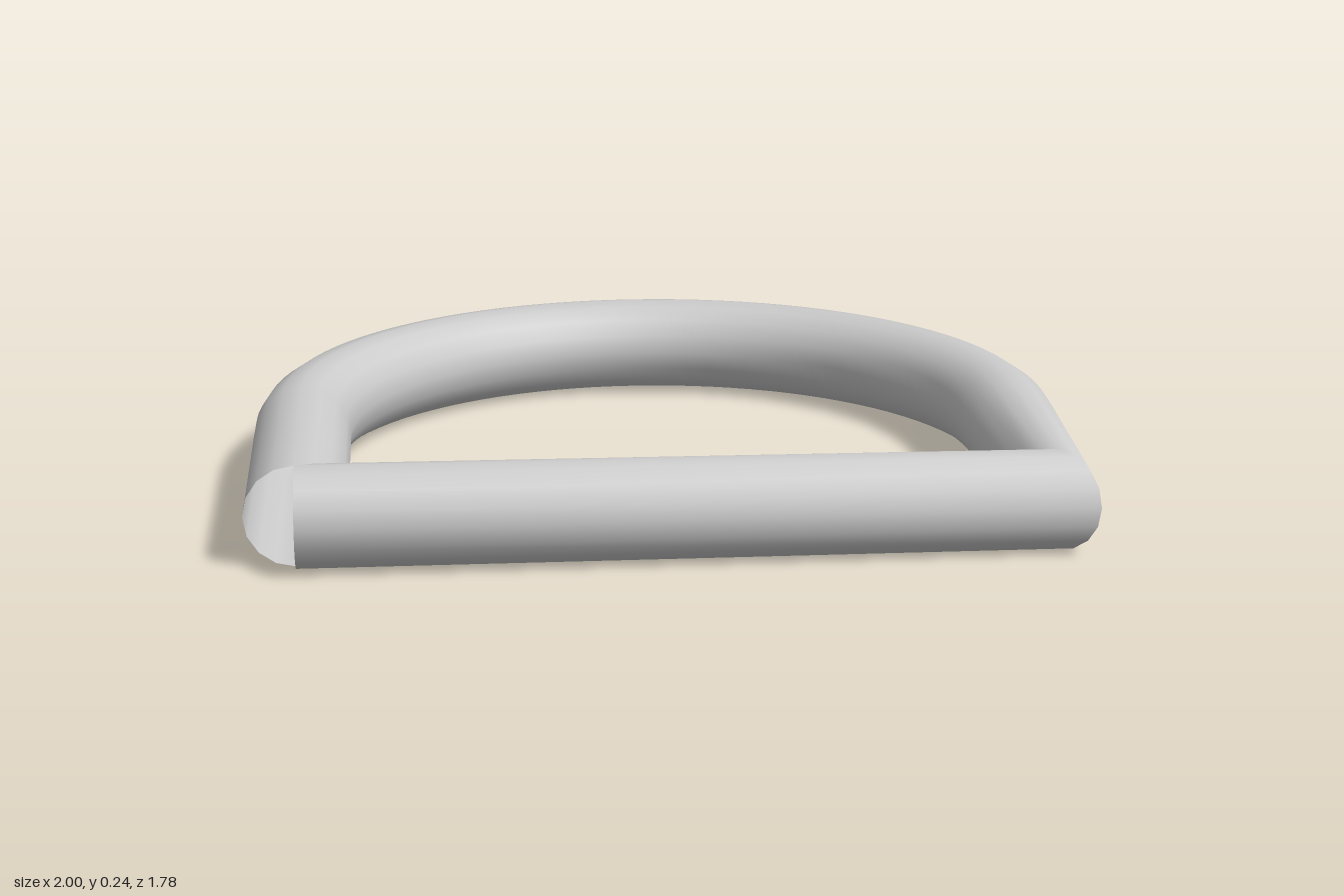
import * as THREE from 'three';

const R = 0.88;        // half width of the ring centreline
const TUBE = 0.12;     // rod radius
const BAR_Z = 0.77;    // front bar position
const ARC_Z = 0.105;   // centre of the rear arch
const ARC_STEPS = 48;

// Stations along the rod: left leg, arch, right leg, sharp corner, front bar
function rodPath() {
  const points = [new THREE.Vector3(-R, TUBE, BAR_Z)];
  const tangents = [new THREE.Vector3(0, 0, -1)];
  for (let i = 0; i <= ARC_STEPS; i++) {
    const a = Math.PI * i / ARC_STEPS;
    points.push(new THREE.Vector3(-R * Math.cos(a), TUBE, ARC_Z - R * Math.sin(a)));
    tangents.push(new THREE.Vector3(Math.sin(a), 0, -Math.cos(a)));
  }
  // the corner section sits on the bisector, which pinches both neighbours
  points.push(new THREE.Vector3(R, TUBE, BAR_Z), new THREE.Vector3(-R, TUBE, BAR_Z));
  tangents.push(new THREE.Vector3(-1, 0, 1).normalize(), new THREE.Vector3(-1, 0, 0));
  return { points, tangents };
}

// A curve that steps exactly through the stations
class StationCurve extends THREE.Curve {
  constructor({ points, tangents }) {
    super();
    this.points = points;
    this.tangents = tangents;
  }
  index(u) { return Math.round(u * (this.points.length - 1)); }
  getPointAt(u, target = new THREE.Vector3()) { return target.copy(this.points[this.index(u)]); }
  getTangentAt(u, target = new THREE.Vector3()) { return target.copy(this.tangents[this.index(u)]); }
}

export function createModel() {
  const group = new THREE.Group();
  group.name = 'dRing';
  const path = rodPath();

  // One open-ended bent rod
  const geometry = new THREE.TubeGeometry(new StationCurve(path), path.points.length - 1, TUBE, 16, false);
  const material = new THREE.MeshStandardMaterial({ color: 0xcccccc, side: THREE.DoubleSide });
  const rod = new THREE.Mesh(geometry, material);
  rod.name = 'bentRod';
  group.add(rod);
  return group;
}
